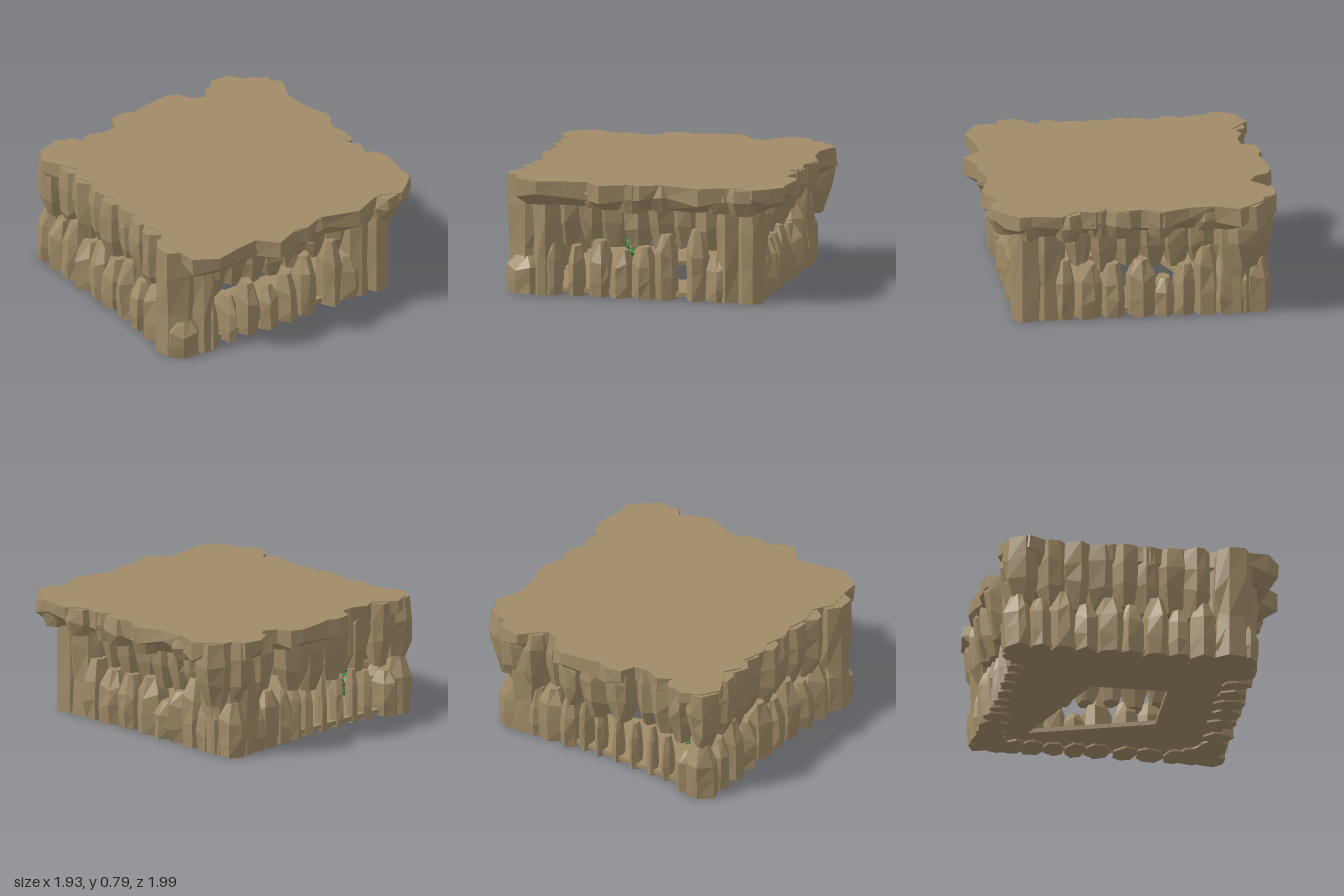
import * as THREE from 'three';
import { mergeGeometries } from 'three/addons/utils/BufferGeometryUtils.js';

let seed = 7;
const rand = () => {
  seed = (seed * 16807) % 2147483647;
  return seed / 2147483647;
};
const jitter = (a) => (rand() * 2 - 1) * a;

// Closed faceted solid through equal-length rings, ordered bottom to top
function loft(rings) {
  const pos = [];
  const tri = (...pts) => pts.forEach((p) => pos.push(p.x, p.y, p.z));
  const centre = (r) => r.reduce((s, p) => s.add(p), new THREE.Vector3()).divideScalar(r.length);
  const n = rings[0].length;
  const low = rings[0], high = rings[rings.length - 1];
  const c0 = centre(low), c1 = centre(high);
  for (let i = 0; i < n; i++) {
    const j = (i + 1) % n;
    for (let k = 0; k < rings.length - 1; k++) {
      const a = rings[k], b = rings[k + 1];
      tri(a[i], b[i], a[j]);
      tri(a[j], b[i], b[j]);
    }
    tri(c0, low[i], low[j]);
    tri(c1, high[j], high[i]);
  }
  const g = new THREE.BufferGeometry();
  g.setAttribute('position', new THREE.Float32BufferAttribute(pos, 3));
  g.computeVertexNormals();
  return g;
}

// Ring profiles: [height fraction, width]
const COLUMN = [[0, 0.92], [0.3, 1], [0.68, 0.95], [1, 0.5]];
const TALL = [[0, 0.95], [0.35, 0.9], [0.7, 1], [1, 0.92]];
const HANGING = [[0, 0.5], [0.35, 0.9], [0.68, 1.02], [1, 0.92]];
const LUMP = [[0, 0.72], [0.5, 1.05], [1, 0.92]];

// One irregular seven-sided rock
function rock(x, z, y0, y1, rx, rz, profile) {
  const sides = 7, turn = rand() * 6;
  const angles = Array.from({ length: sides }, (_, i) => turn + ((i + jitter(0.25)) / sides) * Math.PI * 2);
  return loft(profile.map(([t, w], k) => {
    const end = k === 0 || k === profile.length - 1;
    return angles.map((a) => {
      const s = w * (1 + jitter(0.1));
      const y = y0 + (y1 - y0) * (t + (end ? 0 : jitter(0.09)));
      return new THREE.Vector3(x + Math.cos(a) * rx * s, y, z + Math.sin(a) * rz * s);
    });
  }));
}

// Plateau outline as x, z pairs: back, right, front, left
const OUTLINE = [
  -.93, -.76, -.85, -.88, -.72, -.94, -.59, -.83, -.5, -.88, -.4, -.84, -.3, -.85, -.26, -.95,
  -.15, -.97, -.08, -.94, .05, -.97, .2, -.99, .28, -.96, .32, -.87, .41, -.83, .47, -.88,
  .56, -.98, .7, -.96, .74, -.88, .8, -.87, .94, -.7, .87, -.54, .88, -.37, .94, -.2,
  .88, -.05, .91, .1, .83, .17, .9, .25, .86, .37, .96, .48, .93, .68, .94, .76,
  .86, .84, .76, .92, .65, .86, .57, .87, .4, .95, .14, .87, 0, .93, -.08, .91,
  -.26, .99, -.37, .87, -.53, .89, -.7, .93, -.86, .84, -.87, .7, -.9, .55, -.82, .42,
  -.86, .3, -.83, .15, -.87, .05, -.83, -.1, -.87, -.2, -.83, -.35, -.87, -.45, -.81, -.55];

// Thick-edged slab, hollowed underneath
function plateau() {
  const ring = (scale, wobble, y, dy) => {
    const out = [];
    for (let i = 0; i < OUTLINE.length; i += 2) {
      const s = scale + jitter(wobble);
      out.push(new THREE.Vector3(OUTLINE[i] * s, y + jitter(dy), OUTLINE[i + 1] * s));
    }
    return out;
  };
  return loft([ring(0.76, 0, 0.755, 0), ring(0.76, 0, 0.62, 0), ring(0.9, 0.025, 0.615, 0.012),
    ring(1.0, 0.012, 0.695, 0.035), ring(1, 0, 0.79, 0)]);
}

export function createModel() {
  seed = 7;
  const model = new THREE.Group();
  const stone = new THREE.MeshStandardMaterial({ name: 'stone', color: 0xa08b67, flatShading: true });
  const leaf = new THREE.MeshStandardMaterial({ name: 'leaf', color: 0x3f8f3f, side: THREE.DoubleSide });
  const add = (name, geometry, material = stone) => {
    const m = new THREE.Mesh(geometry, material);
    m.name = name;
    model.add(m);
  };
  const addRocks = (name, list) => add(name, mergeGeometries(list));

  add('plateau', plateau());

  // Lumps under the front and right rim
  const lumps = [];
  for (let i = 42; i < 86; i += 4) {
    const r = 0.1 + jitter(0.015);
    lumps.push(rock(OUTLINE[i] * 0.9, OUTLINE[i + 1] * 0.9, 0.605 + jitter(0.01), 0.785, r, r, LUMP));
  }
  addRocks('rimLumps', lumps);

  // Floor with a kite-shaped opening
  const points = (list) => list.map(([x, z]) => new THREE.Vector2(x, -z));
  const floor = new THREE.Shape(points([[-.86, .7], [.7, .7], [.7, -.84], [-.86, -.84]]));
  floor.holes.push(new THREE.Path(points([[-.3, .25], [-.3, -.26], [.48, -.56], [.22, .25]])));
  const floorGeo = new THREE.ExtrudeGeometry(floor, { depth: 0.03, bevelEnabled: false });
  floorGeo.rotateX(-Math.PI / 2).translate(0, 0.015, 0);
  add('floor', floorGeo);

  // Full-height corner pillars
  addRocks('cornerPillars', [
    [-.82, .6, .15, .14, .785], [-.68, .66, .11, .13, .7], [-.74, .52, .15, .12, .7],
    [.7, .68, .1, .11, .66], [.56, .66, .1, .12, .66], [.66, .56, .13, .13, .66],
    [.6, -.8, .15, .13, .7], [.7, -.7, .1, .13, .66],
  ].map(([x, z, rx, rz, h]) => rock(x, z, 0, h, rx, rz, TALL)));

  // Lower columns on each side: [position along the wall, height, half width]
  const front = [[-.63, .36, .06], [-.48, .33, .06], [-.32, .37, .08], [-.17, .31, .085], [-.02, .34, .085],
    [.13, .43, .08], [.34, .47, .08], [.47, .31, .08]];
  addRocks('frontColumns', front.map(([x, h, r]) => rock(x, .68, 0, h, r, .11, COLUMN)));

  const right = [[.44, .4, .08], [.28, .36, .1], [.12, .36, .09], [-.07, .38, .1], [-.22, .25, .08], [-.36, .34, .08],
    [-.5, .46, .09], [-.62, .38, .08], [-.73, .36, .08], [-.84, .36, .09]];
  addRocks('rightColumns', right.map(([z, h, r]) => rock(.68, z, 0, h, .12, r, COLUMN)));

  const left = [[.69, .25, .09], [.55, .36, .1], [.4, .4, .1], [.24, .34, .09], [.09, .42, .1], [-.07, .36, .09],
    [-.22, .4, .1], [-.38, .34, .09], [-.53, .42, .1], [-.68, .36, .09], [-.83, .38, .1]];
  addRocks('leftColumns', left.map(([z, h, r]) => rock(-.82, z, 0, h, .125, r, COLUMN)));

  const back = [[-.72, .3, .1], [-.54, .33, .04], [-.42, .36, .035], [-.28, .34, .04], [-.14, .36, .035],
    [0, .34, .04], [.12, .36, .045], [.24, .36, .07], [.38, .38, .1], [.5, .34, .09]];
  addRocks('backColumns', back.map(([x, h, r]) => rock(x, -.81, 0, h, r, Math.min(.11, r * 1.5), COLUMN)));

  // Upper walls hanging from the plateau
  const upper = [];
  for (let p = -.55; p < .56; p += .16) {
    upper.push(rock(p, .6, .33 + jitter(.03), .77, .115, .13, HANGING));
    upper.push(rock(.62, p - .08, .31 + jitter(.03), .77, .13, .115, HANGING));
  }
  addRocks('upperWalls', upper);

  const boulders = [[-.82, -.8, .12, .13], [-.66, -.81, .1, .12], [-.5, -.76, .1, .11], [-.36, -.75, .1, .11],
    [-.19, -.83, .12, .13], [0, -.83, .12, .13], [.18, -.85, .12, .13], [.37, -.75, .11, .11], [.52, -.82, .1, .13],
    [.65, -.83, .12, .13], [.78, -.76, .13, .13]];
  for (let z = -.6; z < .5; z += .16) boulders.push([-.77 + jitter(.02), z, .14, .115]);
  addRocks('hangingBoulders', boulders.map(([x, z, rx, rz]) => rock(x, z, .34 + jitter(.03), .783, rx, rz, HANGING)));

  // Hanging vines made of small leaves: [x, z, top, length]
  const vines = [[.26, -.6, .43, .14], [-.57, -.6, .43, .33], [-.57, .25, .6, .28], [-.17, .42, .42, .26]];
  const leaves = [];
  for (const [x, z, top, length] of vines) {
    for (let i = 0; i < 70; i++) {
      const g = new THREE.CircleGeometry(0.022, 4);
      g.scale(0.7, 1, 1).rotateX(jitter(0.8)).rotateY(jitter(3));
      g.translate(x + jitter(.05), top - rand() * length, z + jitter(.04));
      leaves.push(g);
    }
  }
  add('vines', mergeGeometries(leaves), leaf);
  return model;
}
